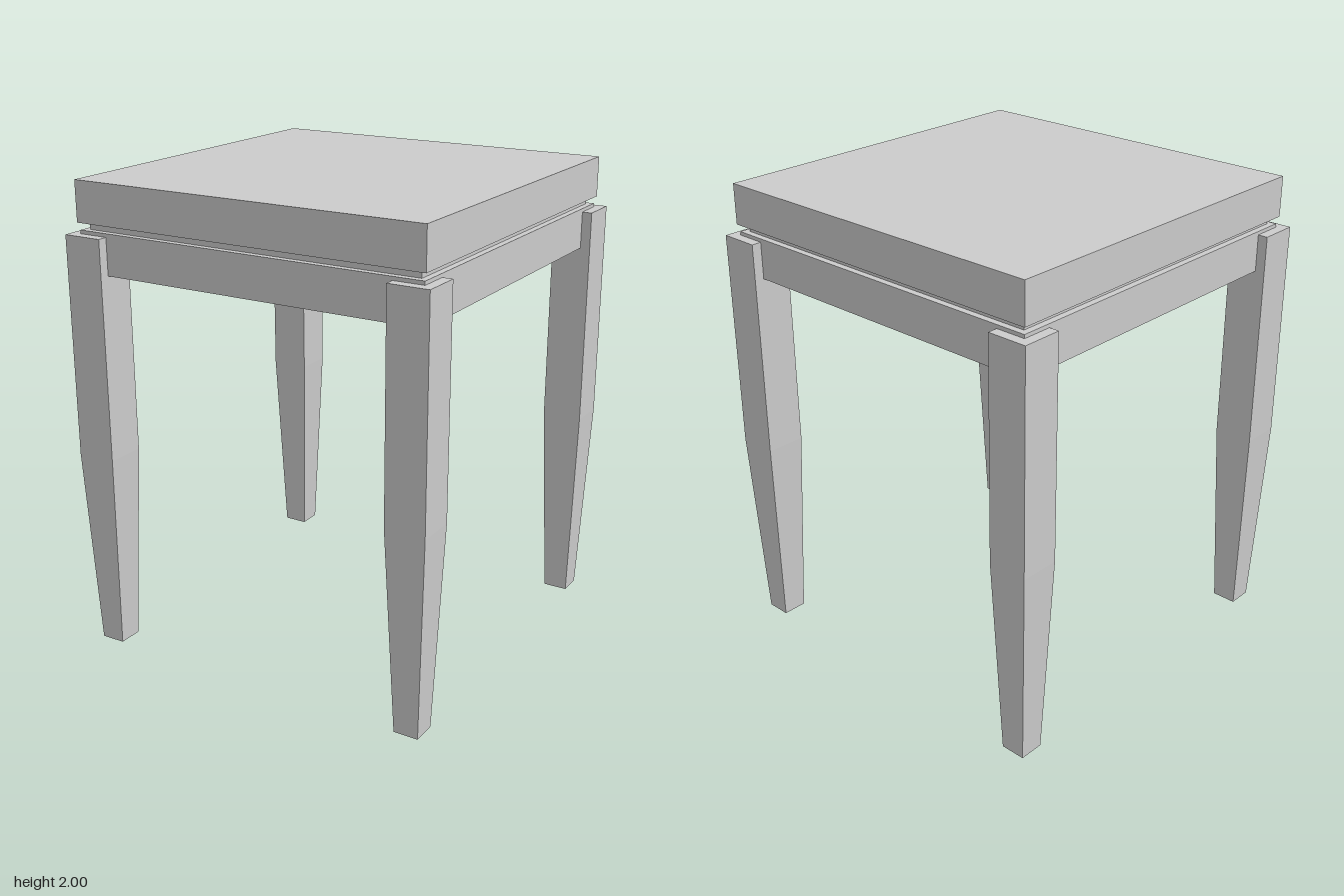
import * as THREE from 'three';

const material = new THREE.MeshStandardMaterial({ color: 0xcccccc, flatShading: true });

function addPart(parent, geometry, name) {
  const mesh = new THREE.Mesh(geometry, material);
  mesh.name = name;
  parent.add(mesh);
  return mesh;
}

// Square ring lying flat between heights y0 and y1
function squareRing(outer, inner, y0, y1) {
  const square = (Target, h) => new Target([
    new THREE.Vector2(-h, -h), new THREE.Vector2(h, -h),
    new THREE.Vector2(h, h), new THREE.Vector2(-h, h),
  ]);
  const shape = square(THREE.Shape, outer);
  shape.holes.push(square(THREE.Path, inner));
  return new THREE.ExtrudeGeometry(shape, { depth: y1 - y0, bevelEnabled: false })
    .rotateX(-Math.PI / 2)
    .translate(0, y0, 0);
}

// Square leg: straight above taperY, narrowing evenly to the foot
function legGeometry(height, taperY, topWidth, footWidth) {
  const geometry = new THREE.BoxGeometry(topWidth, height, topWidth, 1, 2, 1);
  geometry.translate(0, height / 2, 0);
  const pos = geometry.attributes.position;
  for (let i = 0; i < pos.count; i++) {
    const y = pos.getY(i);
    if (y < 0.01) {
      const s = footWidth / topWidth;
      pos.setXYZ(i, pos.getX(i) * s, 0, pos.getZ(i) * s);
    } else if (y < height - 0.01) {
      pos.setY(i, taperY);
    }
  }
  geometry.computeVertexNormals();
  return geometry;
}

export function createModel() {
  const stool = new THREE.Group();
  stool.name = 'stool';

  // Thick square seat
  addPart(stool, new THREE.BoxGeometry(1.55, 0.17, 1.55), 'seat').position.y = 1.915;

  // Recessed spacer under the seat, then the apron rails
  addPart(stool, squareRing(0.74, 0.67, 1.8, 1.83), 'seatSpacer');
  addPart(stool, squareRing(0.767, 0.72, 1.63, 1.8), 'apron');

  // Four corner legs
  const leg = legGeometry(1.785, 0.86, 0.17, 0.105);
  for (const [z, end] of [[1, 'front'], [-1, 'back']]) {
    for (const [x, side] of [[1, 'Left'], [-1, 'Right']]) {
      addPart(stool, leg, `${end}${side}Leg`).position.set(x * 0.724, 0, z * 0.724);
    }
  }
  return stool;
}
